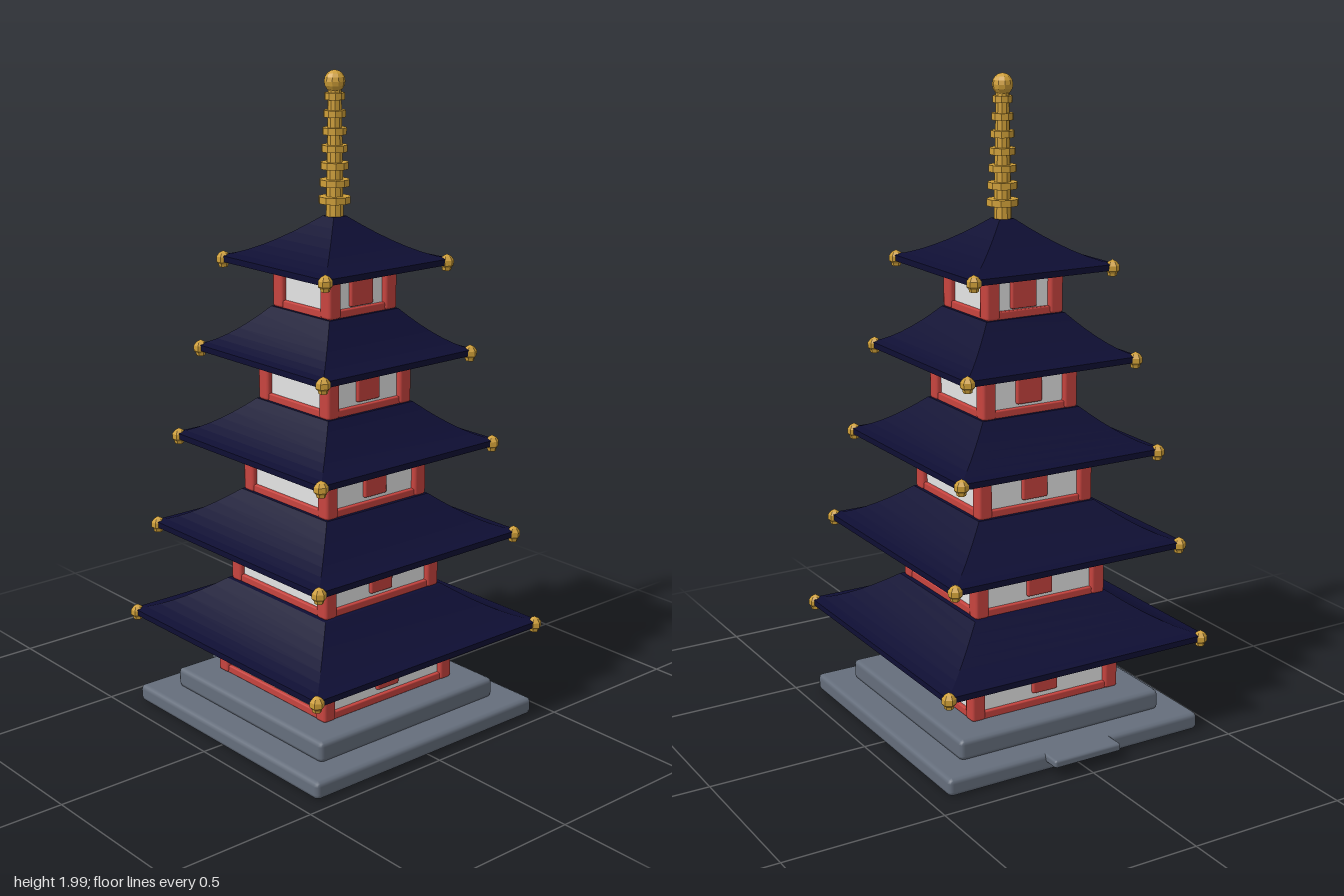
import * as THREE from 'three';
import { RoundedBoxGeometry } from 'three/addons/geometries/RoundedBoxGeometry.js';

const mat = (name, color, flatShading = false) => {
  const m = new THREE.MeshStandardMaterial({ color, flatShading });
  m.name = name;
  return m;
};

export function createModel() {
  const navy = mat('navy roof tile', 0x0e0e33, true);
  const red = mat('red lacquer', 0xc8443f);
  const white = mat('white plaster', 0xe4e4e4);
  const gold = mat('gold', 0xcf9f38, true);
  const stone = mat('grey stone', 0x656e7c);

  const model = new THREE.Group();
  model.name = 'pagoda';
  const tower = new THREE.Group();
  tower.name = 'tower';
  tower.position.z = 0.018;
  model.add(tower);

  const add = (parent, name, geometry, material, x = 0, y = 0, z = 0) => {
    const mesh = new THREE.Mesh(geometry, material);
    mesh.name = name;
    mesh.position.set(x, y, z);
    parent.add(mesh);
    return mesh;
  };
  const bevelBox = (w, h, d, r) => new RoundedBoxGeometry(w, h, d, 1, r);
  const lathe = (pts, sides, phase = 0) =>
    new THREE.LatheGeometry(pts.map(([r, y]) => new THREE.Vector2(r, y)), sides, phase);

  // Stone plinth with the step at the back
  add(tower, 'lowerPlinth', bevelBox(0.88, 0.055, 0.88, 0.015), stone, 0, 0.0325);
  add(tower, 'upperPlinth', bevelBox(0.705, 0.065, 0.705, 0.015), stone, 0, 0.09);
  add(tower, 'backStep', bevelBox(0.232, 0.025, 0.12, 0.008), stone, 0, 0.0475, -0.433);

  // Square concave roof, closed underneath
  const roofGeometry = (eave, top, rise) => {
    const lip = 0.018, steps = 7, d = Math.SQRT2;
    const pts = [[0, 0], [eave * d, 0]];
    for (let i = 0; i <= steps; i++) {
      const t = i / steps;
      pts.push([(eave + (top - eave) * t) * d, lip + (rise - lip) * Math.pow(t, 1.5)]);
    }
    pts.push([0, rise]);
    return lathe(pts, 4, Math.PI / 4);
  };

  // Small faceted bell for the eave corners
  const bell = lathe([[0, -0.024], [0.013, -0.024], [0.015, -0.015], [0.021, -0.009],
    [0.021, 0.007], [0.013, 0.018], [0, 0.025]], 6);

  // Each storey: floor y, body half width, eave y, eave half width, roof top y, roof top half width
  const storeys = [
    [0.122, 0.26, 0.302, 0.45, 0.432, 0.237],
    [0.43, 0.228, 0.597, 0.398, 0.727, 0.202],
    [0.725, 0.198, 0.885, 0.347, 1.017, 0.167],
    [1.015, 0.164, 1.164, 0.296, 1.303, 0.134],
    [1.302, 0.132, 1.437, 0.244, 1.577, 0.025],
  ];
  storeys.forEach(([y0, half, eaveY, eave, topY, topHalf], i) => {
    const storey = new THREE.Group();
    storey.name = `storey${i + 1}`;
    tower.add(storey);
    const height = eaveY - y0 + 0.004, midY = y0 + height / 2;
    const wall = half - 0.017, post = 0.046, c = half - post / 2;

    add(storey, 'walls', new THREE.BoxGeometry(wall * 2, height, wall * 2), white, 0, midY);
    add(storey, 'sill', bevelBox(half * 2 - 0.012, 0.024, half * 2 - 0.012, 0.004), red, 0, y0 + 0.012);
    for (const sx of [-1, 1]) {
      for (const sz of [-1, 1]) {
        add(storey, 'cornerPost', bevelBox(post, height, post, 0.009), red, sx * c, midY, sz * c);
        add(storey, 'cornerBell', bell, gold, sx * (eave - 0.01), eaveY + 0.007, sz * (eave - 0.01));
      }
    }
    // Doors on the front and back
    for (const sz of [-1, 1]) {
      add(storey, 'door', bevelBox(0.087, 0.1, 0.022, 0.006), red, 0, eaveY - 0.09 + i * 0.008, sz * wall);
    }
    add(storey, 'roof', roofGeometry(eave, topHalf, topY - eaveY), navy, 0, eaveY);
  });

  // Ringed spire
  const spire = new THREE.Group();
  spire.name = 'spire';
  tower.add(spire);
  add(spire, 'pole', new THREE.CylinderGeometry(0.02, 0.027, 0.4, 10), gold, 0, 1.76);
  for (let i = 0; i < 7; i++) {
    const r = 0.048 - i * 0.003;
    add(spire, 'ring', new THREE.CylinderGeometry(r, r, 0.02, 10), gold, 0, 1.625 + i * 0.05);
  }
  add(spire, 'finial', new THREE.SphereGeometry(0.031, 10, 8), gold, 0, 1.967).scale.y = 1.06;

  return model;
}
